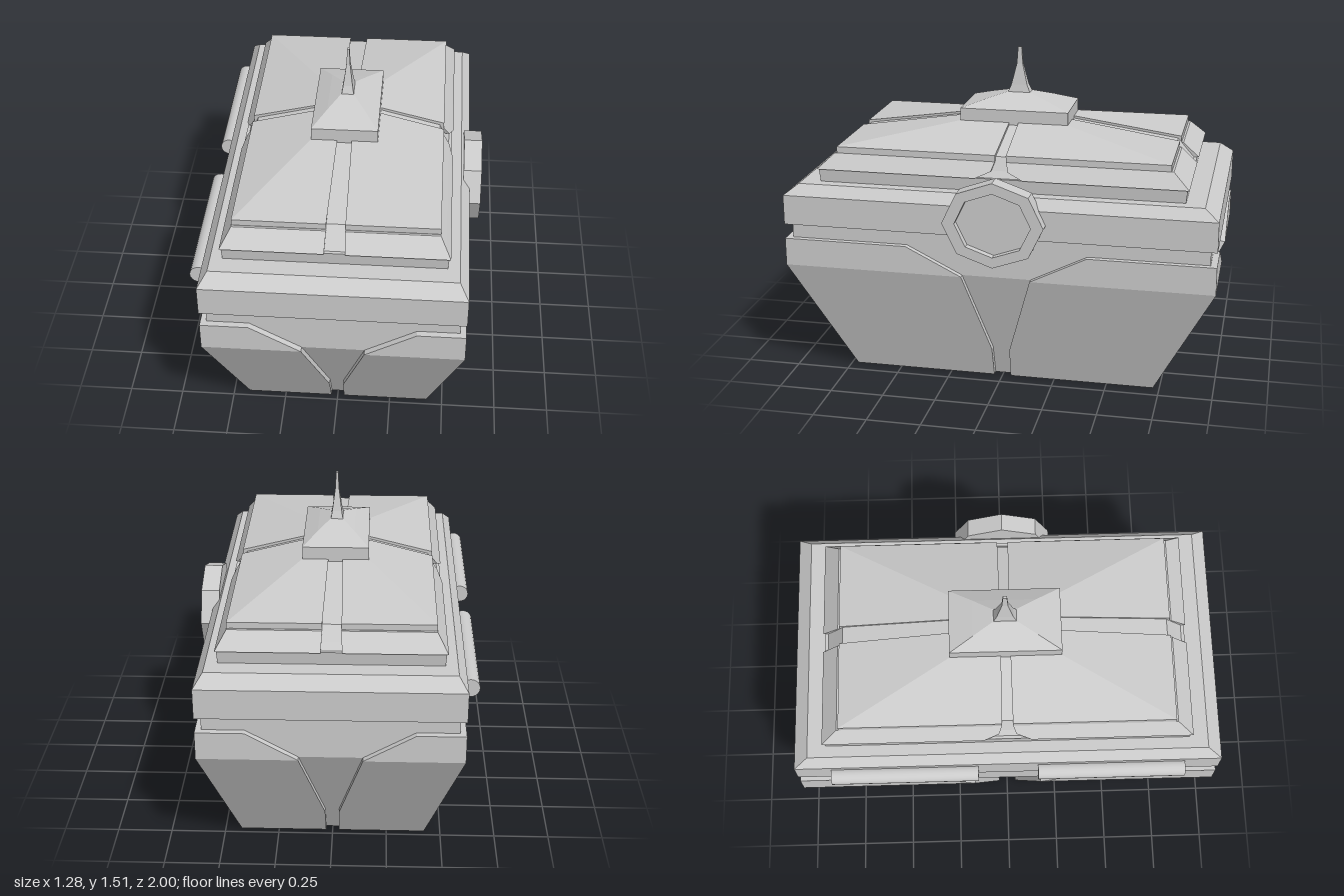
import * as THREE from 'three';

const grey = new THREE.MeshStandardMaterial({ color: 0xcccccc, flatShading: true });
const smoothGrey = new THREE.MeshStandardMaterial({ color: 0xcccccc });

// Skins a stack of closed rings (counter-clockwise from above) and caps both ends.
function loft(rings) {
  const pos = [];
  const tri = (a, b, c) => pos.push(...a, ...b, ...c);
  const n = rings[0].length;
  for (let r = 0; r < rings.length - 1; r++) {
    const lo = rings[r], hi = rings[r + 1];
    for (let i = 0; i < n; i++) {
      const j = (i + 1) % n;
      tri(lo[i], lo[j], hi[j]);
      tri(lo[i], hi[j], hi[i]);
    }
  }
  const bottom = rings[0], top = rings[rings.length - 1];
  for (let k = 2; k < n; k++) {
    const i = k % n, j = (k + 1) % n;
    tri(top[1], top[i], top[j]);
    tri(bottom[1], bottom[j], bottom[i]);
  }
  const g = new THREE.BufferGeometry();
  g.setAttribute('position', new THREE.Float32BufferAttribute(pos, 3));
  g.computeVertexNormals();
  return g;
}

// Rectangular block from levels [y, half width, half depth]
const block = (levels) => loft(levels.map(([y, w, d]) =>
  [[-w, y, d], [w, y, d], [w, y, -d], [-w, y, -d]]));

// Corner plate from levels [y, half width, half depth, cut x, cut z];
// with a thickness it is an L-shaped shell, otherwise a solid quarter.
function corner(levels, sx, sz, t) {
  return loft(levels.map(([y, w, d, cx, cz]) => {
    const pts = t
      ? [[cx, d], [w, d], [w, cz], [w - t, cz], [w - t, d - t], [cx, d - t]]
      : [[cx, d], [w, d], [w, cz], [cx, cz]];
    const ring = pts.map(([x, z]) => [x * sx, y, z * sz]);
    return sx * sz < 0 ? ring.reverse() : ring;
  }));
}

// Octagon with a point at the top, stretched along the chest
function octagon(rx, ry, Type = THREE.Shape) {
  const pts = [];
  for (let i = 0; i < 8; i++) {
    const a = i * Math.PI / 4;
    pts.push(new THREE.Vector2(Math.cos(a) * rx, Math.sin(a) * ry));
  }
  return new Type(pts);
}

export function createModel() {
  const root = new THREE.Group();
  root.name = 'chest';
  const add = (name, geometry, material = grey, parent = root) => {
    const m = new THREE.Mesh(geometry, material);
    m.name = name;
    parent.add(m);
    return m;
  };

  // Recessed inner body, showing between the corner plates and under the lid
  add('bodyCore', block([[0, 0.395, 0.69], [0.55, 0.558, 0.97], [0.76, 0.558, 0.97]]));

  // Lid band with bevelled top
  add('lidBand', block([[0.75, 0.585, 1], [0.89, 0.585, 1], [0.94, 0.545, 0.935]]));

  // Lid neck and the roof core seen inside the grooves
  add('lidNeck', block([[0.93, 0.49, 0.845], [1.0, 0.495, 0.852]]));
  add('roofCore', block([[0.99, 0.487, 0.845], [1.03, 0.462, 0.81], [1.09, 0.435, 0.76], [1.165, 0.15, 0.255]]));

  // Four body corner plates and four roof quarters
  const bodyLevels = [
    [0, 0.425, 0.72, 0.03, 0.04], [0.15, 0.469, 0.796, 0.032, 0.042],
    [0.55, 0.585, 1, 0.14, 0.16], [0.68, 0.585, 1, 0.37, 0.42],
  ];
  const roofLevels = [
    [1.0, 0.502, 0.86, 0.046, 0.11], [1.03, 0.482, 0.828, 0.044, 0.04],
    [1.07, 0.455, 0.785, 0.042, 0.026], [1.071, 0.455, 0.775, 0.042, 0.026],
    [1.1, 0.455, 0.775, 0.042, 0.025], [1.176, 0.155, 0.26, 0.033, 0.022],
  ];
  for (const sx of [1, -1]) {
    for (const sz of [1, -1]) {
      const where = (sz > 0 ? 'Front' : 'Back') + (sx > 0 ? 'Left' : 'Right');
      add('bodyCorner' + where, corner(bodyLevels, sx, sz, 0.05));
      add('roofQuarter' + where, corner(roofLevels, sx, sz, 0));
    }
  }

  // Finial: stepped plinth, curved cap and spike
  add('finialBase', block([
    [1.15, 0.153, 0.258], [1.235, 0.153, 0.258], [1.27, 0.087, 0.148], [1.295, 0.033, 0.06],
  ]));
  add('finialSpike', block([
    [1.29, 0.029, 0.055], [1.33, 0.022, 0.038], [1.43, 0.009, 0.014], [1.51, 0.005, 0.009],
  ]));

  // Octagonal clasp on the left side
  const clasp = new THREE.Group();
  clasp.name = 'clasp';
  clasp.position.set(0.555, 0.825, 0);
  clasp.rotation.y = Math.PI / 2;
  root.add(clasp);
  const ring = octagon(0.233, 0.2);
  ring.holes.push(octagon(0.175, 0.15, THREE.Path));
  add('claspRing', new THREE.ExtrudeGeometry(ring, { depth: 0.085, bevelEnabled: false }), grey, clasp);
  add('claspPlate', new THREE.ExtrudeGeometry(octagon(0.18, 0.155), { depth: 0.05, bevelEnabled: false }), grey, clasp);

  // Two hinge barrels on the right side
  for (const sz of [1, -1]) {
    const hinge = add(sz > 0 ? 'hingeFront' : 'hingeBack',
      new THREE.CylinderGeometry(0.042, 0.042, 0.69, 20), smoothGrey);
    hinge.rotation.x = Math.PI / 2;
    hinge.position.set(-0.603, 0.825, sz * 0.485);
  }

  return root;
}
